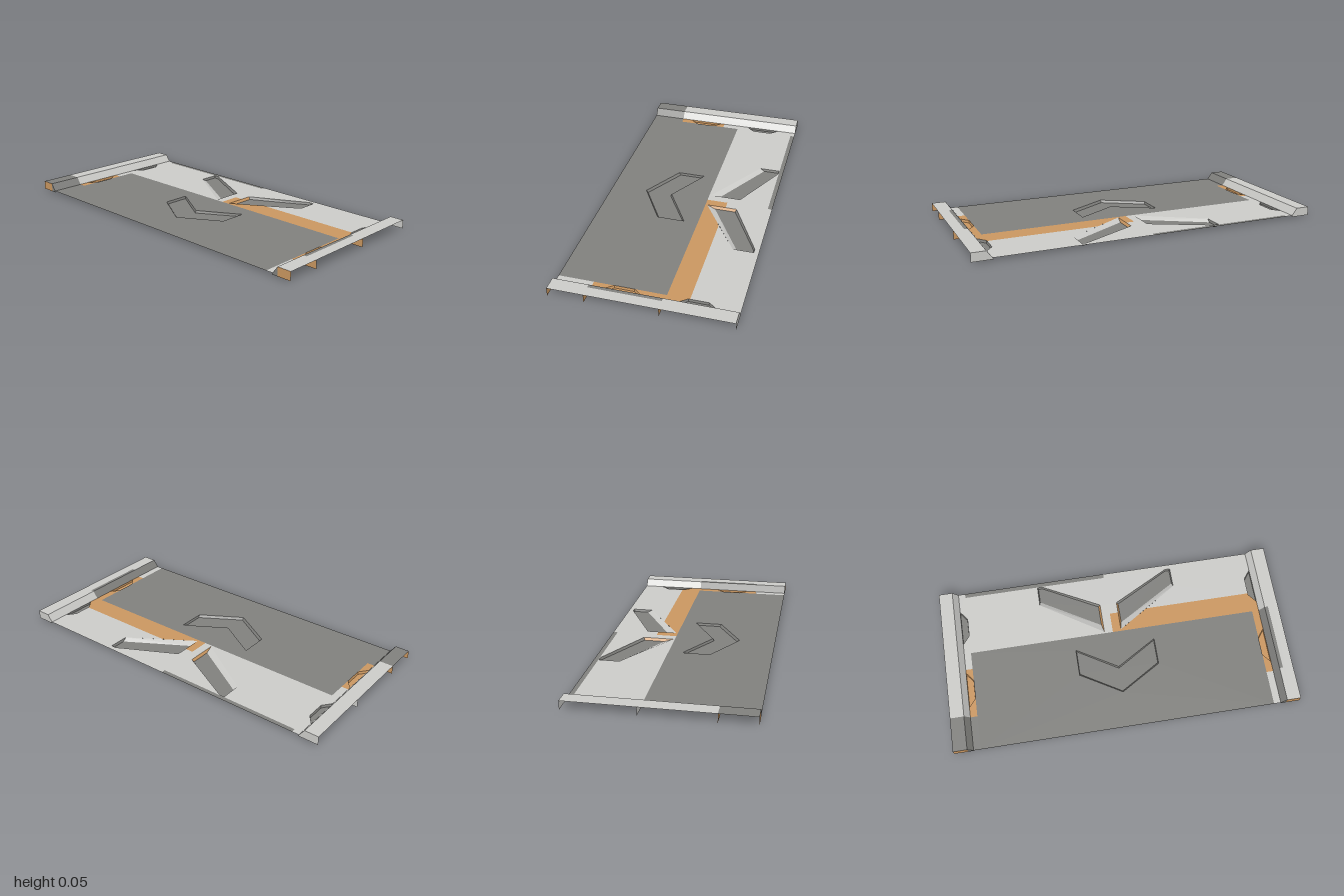
import * as THREE from 'three';

const FLOOR = 0.016, TOP = 0.057, END = 0.485;

export function createModel() {
  const root = new THREE.Group();
  root.name = 'floorPanel';
  const mat = (name, color) => {
    const m = new THREE.MeshStandardMaterial({ color, side: THREE.DoubleSide });
    m.name = name;
    return m;
  };
  const light = mat('lightGrey', 0xcbcbc8);
  const dark = mat('darkGrey', 0x80807d);
  const orange = mat('orange', 0xc99660);

  const add = (name, geometry, material, parent = root) => {
    const mesh = new THREE.Mesh(geometry, material);
    mesh.name = name;
    parent.add(mesh);
    return mesh;
  };
  const vec = (pts) => pts.map(([x, z]) => new THREE.Vector2(x, -z));

  // Flat sheet from [x, z] corners at height y, with optional holes
  function plate(name, pts, material, y = FLOOR, holes = [], parent = root) {
    const shape = new THREE.Shape(vec(pts));
    holes.forEach((h) => shape.holes.push(new THREE.Path(vec(h))));
    const g = new THREE.ShapeGeometry(shape).rotateX(-Math.PI / 2).translate(0, y, 0);
    return add(name, g, material, parent);
  }
  // Flat four-cornered face
  function quad(name, a, b, c, d, material, parent = root) {
    const g = new THREE.BufferGeometry();
    g.setAttribute('position', new THREE.Float32BufferAttribute([a, b, c, a, c, d].flat(), 3));
    g.computeVertexNormals();
    return add(name, g, material, parent);
  }
  // Sunken tray: rim at floor height, bed at the ground, sloping walls between
  function recess(name, rim, bed, bedMat, wallMat) {
    const group = new THREE.Group();
    group.name = name;
    root.add(group);
    plate(name + 'Bed', bed, bedMat, 0.002, [], group);
    rim.forEach(([x, z], i) => {
      const j = (i + 1) % rim.length;
      quad(name + 'Wall', [x, FLOOR, z], [rim[j][0], FLOOR, rim[j][1]],
        [bed[j][0], 0.002, bed[j][1]], [bed[i][0], 0.002, bed[i][1]], wallMat(i), group);
    });
  }
  const flip = (pts) => pts.map(([x, z]) => [-x, z]);

  // Rear diagonal slots and front chevron
  const armRim = [[0.05, -0.285], [0.38, -0.457], [0.41, -0.457], [0.41, -0.34], [0.05, -0.11]];
  const armBed = [[0.06, -0.28], [0.38, -0.452], [0.405, -0.452], [0.405, -0.365], [0.06, -0.16]];
  const chevRim = [[-0.235, -0.02], [0, 0.12], [0.235, -0.02], [0.235, 0.137], [0, 0.277], [-0.235, 0.137]];
  const chevBed = [[-0.232, -0.015], [0, 0.126], [0.232, -0.015], [0.232, 0.127], [0, 0.267], [-0.232, 0.127]];
  const armWall = (i) => (i === 3 ? light : i === 4 ? orange : dark);
  recess('leftSlot', armRim, armBed, dark, armWall);
  recess('rightSlot', flip(armRim), flip(armBed), dark, armWall);
  recess('chevron', chevRim, chevBed, dark, () => dark);

  // Main floor, divided by colour
  plate('frontFloor', [[-0.85, -0.1], [0.85, -0.1], [0.85, END], [-0.85, END]], dark, FLOOR, [chevRim]);
  plate('rearFloor', [
    [0.85, -END], [0.85, -0.22], [0.223, -0.22], [0.41, -0.34], [0.41, -0.457], [0.38, -0.457],
    [0.05, -0.285], [0.05, -0.22], [0, -0.22], [0, -0.1], [-0.85, -0.1], [-0.85, -0.46], [0, -0.46], [0, -END],
  ], light, FLOOR, [flip(armRim)]);
  plate('rearEdgeStripe', [[-0.85, -END], [0, -END], [0, -0.46], [-0.85, -0.46]], dark);
  plate('orangeStripe', [[0.05, -0.1], [0.05, -0.11], [0.223, -0.22], [0.85, -0.22], [0.85, -0.1]], orange);
  plate('orangeStripeEnd', [[0, -0.22], [0.05, -0.22], [0.05, -0.1], [0, -0.1]], orange);

  // Lip pieces: [inner z start, outer z start, inner z end, outer z end, colour]
  const rearLip = [-END, -END, -0.32, -0.37, light];
  const lips = {
    1: [rearLip, [-0.21, -0.16, 0.07, 0.02, orange], [0.18, 0.23, 0.29, 0.29, orange], [0.29, 0.29, END, END, light]],
    '-1': [rearLip, [-0.21, -0.16, 0, 0, light], [0, 0, 0.07, 0.02, orange],
      [0.18, 0.23, 0.29, 0.29, orange], [0.29, 0.29, END, END, dark]],
  };
  // Curb runs along z: [start, end, colour]
  const slopes = {
    1: [[-END, -0.1, light], [-0.1, END, dark]],
    '-1': [[-END, 0.29, light], [0.29, END, dark]],
  };

  for (const s of [1, -1]) {
    const side = s > 0 ? 'left' : 'right';
    for (const [i0, o0, i1, o1, m] of lips[s]) {
      plate(side + 'Lip', [[0.85 * s, i0], [0.89 * s, o0], [0.89 * s, o1], [0.85 * s, i1]], m);
    }
    // Trapezoid notches beside the curb
    for (const [z, m] of [[-0.265, dark], [0.125, orange]]) {
      const rim = [[0.89 * s, z - 0.105], [0.85 * s, z - 0.055], [0.85 * s, z + 0.055], [0.89 * s, z + 0.105]];
      const bed = [[0.89 * s, z - 0.1], [0.853 * s, z - 0.052], [0.853 * s, z + 0.052], [0.89 * s, z + 0.1]];
      recess(side + 'Notch', rim, bed, m, () => m);
    }
    // Sloping inner face of the curb
    for (const [z0, z1, m] of slopes[s]) {
      quad(side + 'CurbSlope', [0.89 * s, FLOOR, z0], [0.89 * s, FLOOR, z1],
        [0.92 * s, TOP, z1], [0.92 * s, TOP, z0], m);
    }
    // Curb top
    const top = (x0, x1, z0, z1, m) =>
      plate(side + 'CurbTop', [[x0 * s, z0], [x1 * s, z0], [x1 * s, z1], [x0 * s, z1]], m, TOP);
    if (s > 0) {
      top(0.94, 1, -END, END, light);
      top(0.92, 0.94, -END, -0.1, light);
      top(0.92, 0.94, -0.1, 0.29, dark);
      top(0.92, 0.94, 0.29, END, light);
    } else {
      top(0.92, 1, -END, 0.29, light);
      top(0.92, 1, 0.29, END, dark);
    }
    // Ribs that carry the curb
    const ribs = [[-END, light], [-0.1, s > 0 ? orange : light], [0.29, orange], [END, orange]];
    for (const [z, m] of ribs) {
      quad(side + 'Rib', [0.92 * s, 0.008, z], [s, 0.008, z], [s, TOP, z], [0.92 * s, TOP, z], m);
      quad(side + 'RibToe', [0.885 * s, 0.008, z], [0.92 * s, 0.008, z],
        [0.92 * s, TOP, z], [0.89 * s, FLOOR, z], m === orange ? dark : m);
    }
  }
  return root;
}
